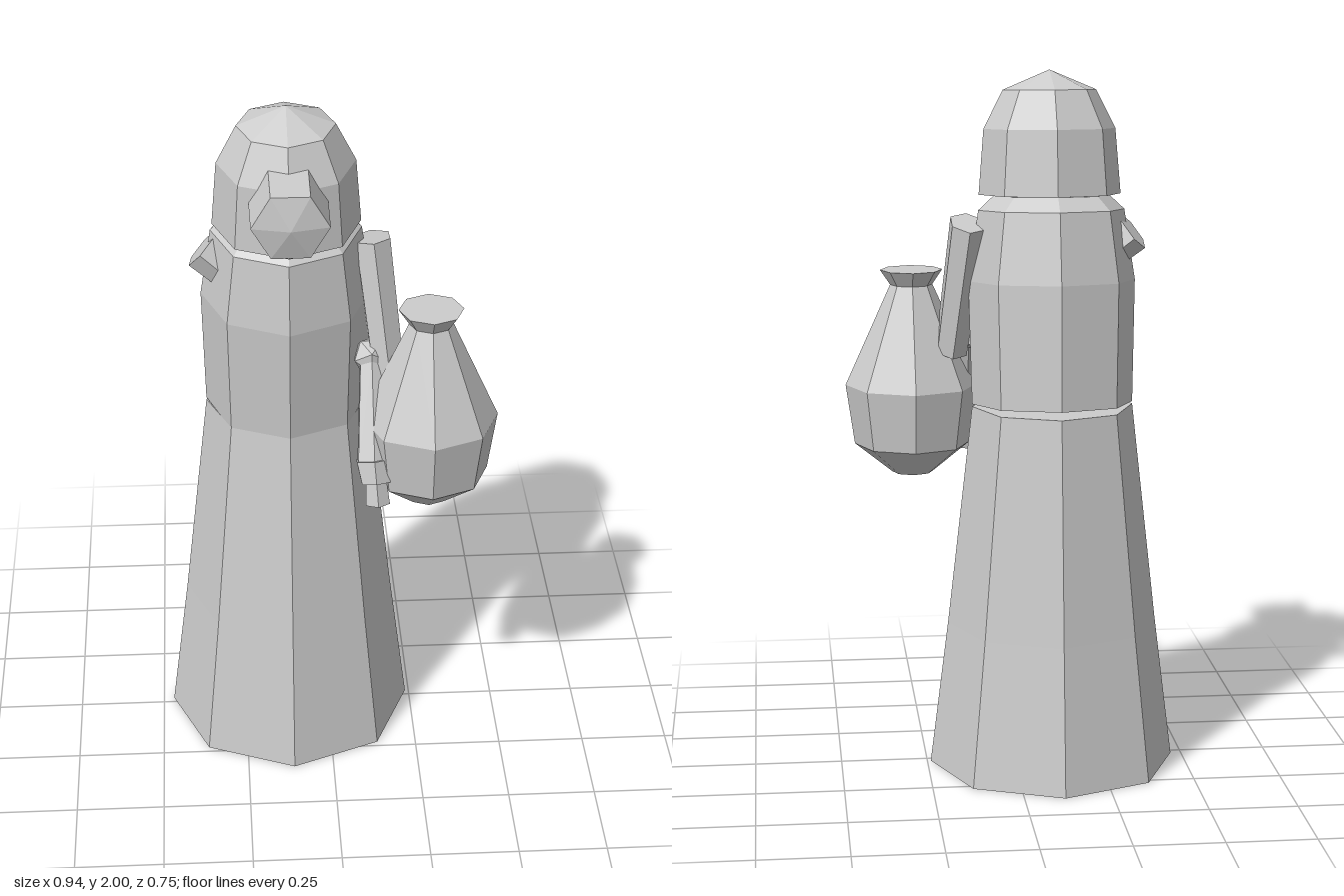
import * as THREE from 'three';

const V = (x, y, z) => new THREE.Vector3(x, y, z);

export function createModel() {
  const model = new THREE.Group();
  model.name = 'robedFigure';
  const stone = new THREE.MeshStandardMaterial({ color: 0xcccccc, flatShading: true });
  stone.name = 'stoneGrey';

  const add = (parent, name, geometry) => {
    const mesh = new THREE.Mesh(geometry, stone);
    mesh.name = name;
    parent.add(mesh);
    return mesh;
  };

  // Eight-sided turned form, listed from bottom to top as [radius, height]
  const turned = (points) =>
    new THREE.LatheGeometry(points.map(([r, y]) => new THREE.Vector2(r, y)), 8);

  // Tapered prism running from a to b, flattened sideways by the given factor
  const limb = (name, a, b, ra, rb, sides = 6, flat = 1) => {
    const dir = b.clone().sub(a);
    const geometry = new THREE.CylinderGeometry(ra, rb, dir.length(), sides);
    geometry.scale(flat, 1, 1);
    const mesh = add(model, name, geometry);
    mesh.quaternion.setFromUnitVectors(V(0, -1, 0), dir.normalize());
    // Keep the wider side of the section facing front to back
    if (dir.y < 0) mesh.quaternion.setFromUnitVectors(V(0, 1, 0), dir.clone().negate());
    mesh.position.copy(a).add(b).multiplyScalar(0.5);
    return mesh;
  };

  // Long skirt of the robe
  add(model, 'skirt', turned([[0, 0], [0.355, 0], [0.302, 0.42], [0.23, 1.055], [0, 1.055]]))
    .position.set(-0.115, 0, -0.02);

  // Torso leaning slightly forward, with a bevelled collar
  const torso = add(model, 'torso', turned([
    [0, 0], [0.23, 0], [0.238, 0.35], [0.208, 0.55], [0.165, 0.59], [0, 0.59],
  ]));
  torso.position.set(-0.115, 1.062, -0.02);
  torso.rotation.x = 0.07;

  // Hooded head and muzzle share the forward tilt
  const head = new THREE.Group();
  head.name = 'head';
  head.position.set(-0.115, 1.65, 0.06);
  head.rotation.x = 0.06;
  model.add(head);
  add(head, 'hood', turned([
    [0, 0], [0.203, 0], [0.188, 0.185], [0.133, 0.294], [0, 0.35],
  ]));
  const muzzle = new THREE.LatheGeometry([
    new THREE.Vector2(0, -0.2), new THREE.Vector2(0.106, -0.2),
    new THREE.Vector2(0.104, 0), new THREE.Vector2(0, 0.022),
  ], 6);
  muzzle.rotateY(Math.PI / 6);
  muzzle.rotateX(Math.PI / 2);
  add(head, 'muzzle', muzzle).position.set(0, 0.142, 0.287);

  // Left arm reaching down and forward to the jar
  limb('leftUpperArm', V(0.122, 1.575, 0.015), V(0.165, 1.2, 0.1), 0.084, 0.075, 6, 0.65);
  add(model, 'leftElbow', new THREE.IcosahedronGeometry(0.055, 0)).position.set(0.115, 1.25, 0.1);
  limb('leftForearm', V(0.115, 1.25, 0.11), V(0.115, 0.99, 0.24), 0.035, 0.05, 6);
  limb('leftHand', V(0.115, 1.0, 0.245), V(0.12, 0.94, 0.27), 0.055, 0.045, 6);
  limb('leftFingers', V(0.12, 0.95, 0.27), V(0.125, 0.88, 0.285), 0.03, 0.035, 5);

  // Right arm tucked into the robe, only the shoulder end showing
  limb('rightArm', V(-0.345, 1.55, 0.005), V(-0.16, 1.39, 0.05), 0.08, 0.06, 6, 0.75);

  // Jar with a narrow neck and flared lid
  add(model, 'jar', turned([
    [0, 0.83], [0.06, 0.83], [0.168, 0.916], [0.193, 1.09],
    [0.061, 1.382], [0.09, 1.425], [0, 1.425],
  ])).position.set(0.275, 0, 0.163);

  return model;
}
